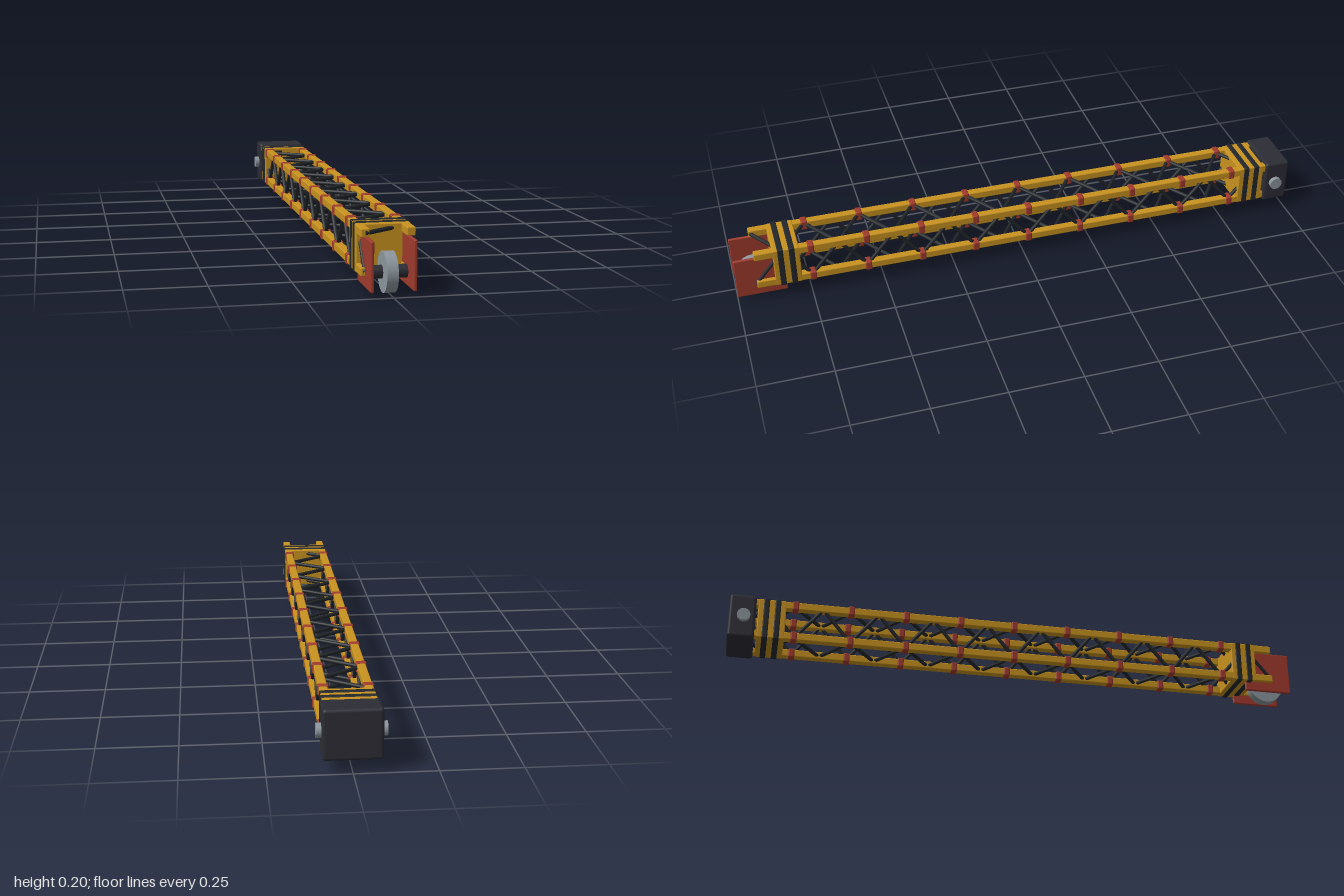
import * as THREE from 'three';
import { RoundedBoxGeometry } from 'three/addons/geometries/RoundedBoxGeometry.js';

const mat = (name, color) => {
  const m = new THREE.MeshStandardMaterial({ color });
  m.name = name;
  return m;
};

export function createModel() {
  const yellow = mat('boomYellow', 0xc8921e);
  const red = mat('rustRed', 0xa03a2c);
  const charcoal = mat('charcoal', 0x2c2c35);
  const black = mat('braceBlack', 0x22262a);
  const steel = mat('steelGrey', 0x8c969d);

  const model = new THREE.Group();
  model.name = 'latticeBoom';

  const add = (name, geometry, material, x, y, z) => {
    const mesh = new THREE.Mesh(geometry, material);
    mesh.name = name;
    mesh.position.set(x, y, z);
    model.add(mesh);
    return mesh;
  };
  const box = (name, w, h, d, r, material, x, y, z) =>
    add(name, new RoundedBoxGeometry(w, h, d, 2, r), material, x, y, z);
  const crossCylinder = (name, r, length, material, x, y, z) => {
    const mesh = add(name, new THREE.CylinderGeometry(r, r, length, 40), material, x, y, z);
    mesh.rotation.z = Math.PI / 2;
    return mesh;
  };
  // round bar between two points
  const bar = (name, a, b, r, material) => {
    const dir = new THREE.Vector3().subVectors(b, a);
    const mesh = add(name, new THREE.CylinderGeometry(r, r, dir.length(), 10), material, 0, 0, 0);
    mesh.position.addVectors(a, b).multiplyScalar(0.5);
    mesh.quaternion.setFromUnitVectors(new THREE.Vector3(0, 1, 0), dir.normalize());
  };

  const X = 0.068, TOP = 0.177, BOTTOM = 0.063, MID = 0.12;
  const FRONT = 0.931, BAY = 0.19, BAYS = 10;

  // four long chords with a collar at every joint
  for (const x of [-X, X]) {
    for (const y of [BOTTOM, TOP]) {
      box('chord', 0.027, 0.027, BAY * BAYS, 0.004, yellow, x, y, FRONT - BAY * BAYS / 2);
      for (let i = 1; i < BAYS; i++) {
        box('jointCollar', 0.034, 0.034, 0.022, 0.005, red, x, y, FRONT - i * BAY);
      }
    }
  }

  // zigzag lacing on all four faces
  for (let i = 0; i < BAYS; i++) {
    const z0 = FRONT - i * BAY, z1 = z0 - BAY / 2, z2 = z0 - BAY;
    for (const y of [BOTTOM, TOP]) {
      const mid = new THREE.Vector3(X, y, z1);
      bar('flatBrace', new THREE.Vector3(-X, y, z0), mid, 0.0065, black);
      bar('flatBrace', mid, new THREE.Vector3(-X, y, z2), 0.0065, black);
    }
    for (const x of [-X, X]) {
      const mid = new THREE.Vector3(x, TOP, z1);
      bar('sideBrace', new THREE.Vector3(x, BOTTOM, z0), mid, 0.0065, black);
      bar('sideBrace', mid, new THREE.Vector3(x, BOTTOM, z2), 0.0065, black);
    }
  }

  // solid end sections with two dark hazard bands each
  for (const [z, depth] of [[0.824, 0.09], [-0.857, 0.094]]) {
    box('endSection', 0.164, 0.144, depth, 0.004, yellow, 0, MID, z);
    for (const s of [-1, 1]) {
      box('hazardBand', 0.169, 0.149, 0.02, 0.004, black, 0, MID, z + s * 0.019);
    }
  }

  // pivot block and its pin at the rear
  box('pivotBlock', 0.178, 0.158, 0.09, 0.01, charcoal, 0, 0.119, -0.955);
  crossCylinder('pivotPin', 0.022, 0.208, steel, 0, 0.118, -0.95);

  // sheave wheel, axle and cheek plates at the front
  crossCylinder('sheaveAxle', 0.02, 0.12, charcoal, 0, 0.06, 0.92);
  crossCylinder('sheaveWheel', 0.061, 0.034, steel, 0, 0.061, 0.928);
  for (const s of [-1, 1]) {
    box('cheekPlate', 0.011, 0.15, 0.17, 0.004, red, s * 0.063, 0.091, 0.915);
  }

  return model;
}
